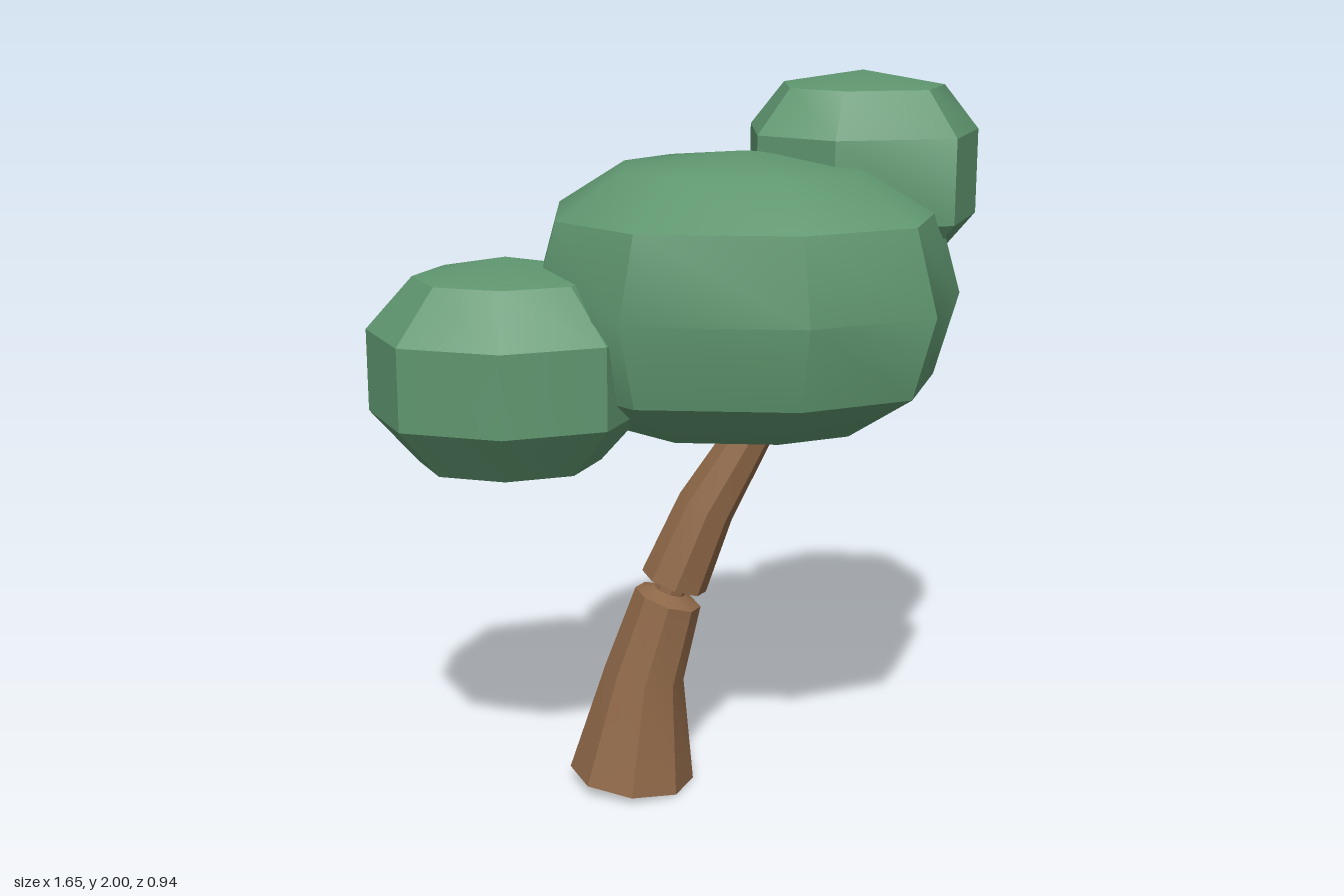
import * as THREE from 'three';
import { toCreasedNormals } from 'three/addons/utils/BufferGeometryUtils.js';

const CREASE = 0.61;

// Skin a stack of rings, listed from bottom to top; a ring may collapse to a point.
function loft(rings) {
  const pos = [];
  const tri = (a, b, c) => {
    if (a.equals(b) || b.equals(c) || a.equals(c)) return;
    for (const p of [a, b, c]) pos.push(p.x, p.y, p.z);
  };
  for (let i = 0; i < rings.length - 1; i++) {
    const lo = rings[i], hi = rings[i + 1], n = lo.length;
    for (let j = 0; j < n; j++) {
      const k = (j + 1) % n;
      tri(lo[j], hi[j], hi[k]);
      tri(lo[j], hi[k], lo[k]);
    }
  }
  const g = new THREE.BufferGeometry();
  g.setAttribute('position', new THREE.Float32BufferAttribute(pos, 3));
  return toCreasedNormals(g, CREASE);
}

// Leaf clump: half an outline [x, z] from +x round to -x, mirrored in z,
// then scaled about its centre by each profile entry [y, scale].
function clump(cx, cz, half, profile) {
  const mirrored = half.filter(p => p[1] > 0).map(([x, z]) => [x, -z]).reverse();
  const outline = [...half, ...mirrored];
  return loft(profile.map(([y, s]) =>
    outline.map(([x, z]) => new THREE.Vector3(cx + x * s, y, cz + z * s))));
}

// Tilted eight-sided trunk rings: [x, y, radius, tilt in degrees]
function trunk(sections) {
  return loft(sections.map(([x, y, r, deg]) => {
    const t = THREE.MathUtils.degToRad(deg);
    return Array.from({ length: 8 }, (_, j) => {
      const u = r * Math.cos(j * Math.PI / 4), w = r * Math.sin(j * Math.PI / 4);
      return new THREE.Vector3(x + u * Math.cos(t), y + u * Math.sin(t), w + 0.005);
    });
  }));
}

export function createModel() {
  const leafGreen = new THREE.MeshStandardMaterial({ color: 0x5f966f });
  leafGreen.name = 'leafGreen';
  const barkBrown = new THREE.MeshStandardMaterial({ color: 0x8f6848 });
  barkBrown.name = 'barkBrown';

  const group = new THREE.Group();
  group.name = 'tree';
  const add = (name, geometry, material) => {
    const mesh = new THREE.Mesh(geometry, material);
    mesh.name = name;
    group.add(mesh);
  };

  // Leaning trunk with a pinched joint between its two segments
  add('trunk', trunk([
    [-0.14, 0.022, 0, 0],
    [-0.14, 0.022, 0.177, -6.5],
    [-0.102, 0.33, 0.113, -12],
    [-0.035, 0.555, 0.096, -18],
    [-0.03, 0.575, 0.045, -18],
    [-0.024, 0.592, 0.045, -20],
    [-0.018, 0.603, 0.095, -20],
    [0.07, 0.82, 0.082, -28],
    [0.197, 1.04, 0.062, -31],
    [0.285, 1.19, 0.055, -31],
    [0.285, 1.19, 0, 0],
  ]), barkBrown);

  // Large central crown, nine-sided
  add('mainCrown', clump(0.17, 0,
    [[0.585, 0], [0.475, 0.335], [0.14, 0.472], [-0.335, 0.427], [-0.56, 0.195]],
    [[1.035, 0], [1.07, 0.57], [1.195, 0.89], [1.42, 1], [1.645, 0.89], [1.765, 0.57], [1.805, 0]]), leafGreen);

  // Low side clump, eight-sided
  add('lowClump', clump(-0.46, 0.15,
    [[0.37, 0], [0.265, 0.238], [0, 0.32], [-0.265, 0.238], [-0.37, 0]],
    [[0.955, 0], [1.0, 0.66], [1.14, 1], [1.36, 1], [1.5, 0.66], [1.55, 0]]), leafGreen);

  // High rear clump, seven-sided
  add('highClump', clump(0.5, -0.18,
    [[0.32, 0], [0.225, 0.237], [-0.1, 0.28], [-0.295, 0.148]],
    [[1.48, 0], [1.495, 0.69], [1.61, 1], [1.84, 1], [1.96, 0.7], [2.0, 0]]), leafGreen);

  return group;
}
